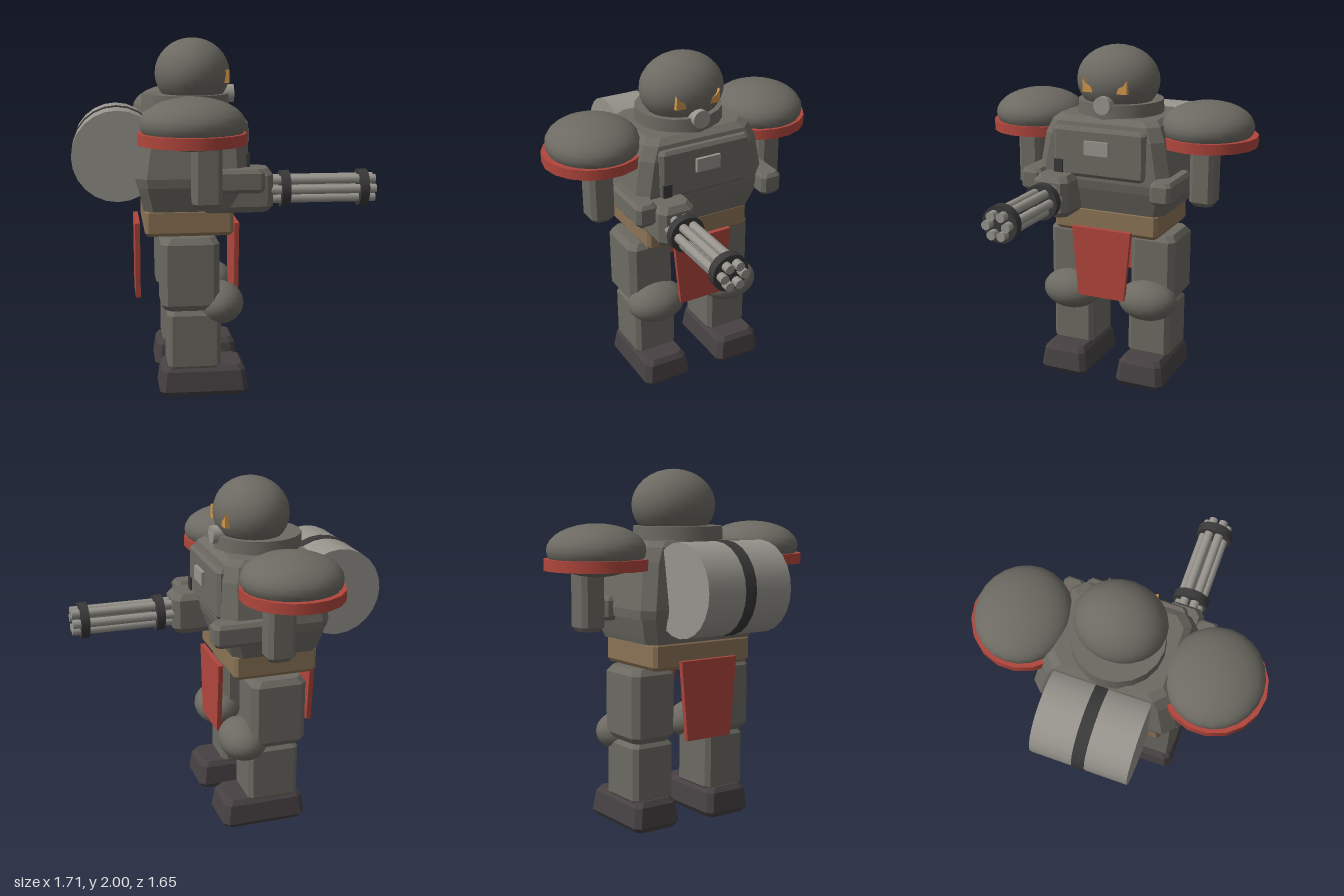
import * as THREE from 'three';
import { ConvexGeometry } from 'three/addons/geometries/ConvexGeometry.js';

const paint = (name, color) => Object.assign(new THREE.MeshStandardMaterial({ color }), { name });

export function createModel() {
  const model = new THREE.Group();
  model.name = 'armouredRobot';
  const armour = paint('armour grey', 0x6c6a62);
  const steel = paint('light steel', 0x97948d);
  const dark = paint('dark metal', 0x3a3939);
  const boot = paint('boot black', 0x474143);
  const red = paint('red trim', 0xb0463c);
  const tan = paint('tan belt', 0x8b7355);
  const amber = paint('amber eyes', 0xd0954a);

  const add = (name, geometry, material, x = 0, y = 0, z = 0) => {
    const mesh = new THREE.Mesh(geometry, material);
    mesh.name = name;
    mesh.position.set(x, y, z);
    model.add(mesh);
    return mesh;
  };

  // Convex block through levels [y, x0, x1, z0, z1], upright edges cut by c
  const block = (name, material, levels, c) => {
    const points = [];
    for (const [y, x0, x1, z0, z1] of levels) {
      const cx = (x0 + x1) / 2, cz = (z0 + z1) / 2;
      const hx = Math.abs(x1 - x0) / 2, hz = Math.abs(z1 - z0) / 2;
      for (const sx of [1, -1]) for (const sz of [1, -1]) {
        points.push(new THREE.Vector3(cx + sx * hx, y, cz + sz * (hz - c)));
        points.push(new THREE.Vector3(cx + sx * (hx - c), y, cz + sz * hz));
      }
    }
    return add(name, new ConvexGeometry(points), material);
  };

  // Box with all edges chamfered by b; inset narrows the top
  const box = (name, material, [x0, x1], [y0, y1], [za, zb], b, inset = 0) => {
    const z0 = Math.min(za, zb), z1 = Math.max(za, zb), t = inset, k = b * 0.7;
    return block(name, material, [
      [y0, x0 + k, x1 - k, z0 + k, z1 - k],
      [y0 + b, x0, x1, z0, z1],
      [y1 - b, x0 + t, x1 - t, z0 + t, z1 - t],
      [y1, x0 + t + k, x1 - t - k, z0 + t + k, z1 - t - k],
    ], b);
  };

  const ellipsoid = (name, material, x, y, z, rx, ry, rz) =>
    add(name, new THREE.SphereGeometry(1, 24, 16), material, x, y, z).scale.set(rx, ry, rz);

  // Cylinder lying along x
  const rodX = (name, material, r, x0, x1, y, z, sides = 16) =>
    add(name, new THREE.CylinderGeometry(r, r, x1 - x0, sides).rotateZ(-Math.PI / 2), material, (x0 + x1) / 2, y, z);

  // Torso
  block('chest', armour, [
    [1.2, -0.495, 0.1, -0.41, 0.41],
    [1.25, -0.505, 0.11, -0.415, 0.415],
    [1.5, -0.465, 0.1, -0.37, 0.37],
    [1.58, -0.45, 0.08, -0.335, 0.335],
    [1.61, -0.42, 0.04, -0.3, 0.3],
  ], 0.06);
  block('abdomen', armour, [
    [1.06, -0.46, 0.05, -0.36, 0.36],
    [1.09, -0.465, 0.06, -0.37, 0.37],
    [1.2, -0.49, 0.1, -0.4, 0.4],
  ], 0.05);
  box('chestPlate', armour, [0.06, 0.127], [1.27, 1.558], [-0.285, 0.285], 0.02);
  add('chestPlaque', new THREE.BoxGeometry(0.02, 0.08, 0.15), steel, 0.146, 1.45, 0);
  add('feedBlock', new THREE.BoxGeometry(0.06, 0.12, 0.052), dark, 0.107, 1.305, 0.248);
  box('belt', tan, [-0.455, 0.04], [0.915, 1.07], [-0.33, 0.33], 0.02);

  // Tapered cloth plates, front and back
  const cloth = (name, x0, x1, yb, yt, hb, ht) =>
    block(name, red, [[yb, x0, x1, -hb, hb], [yt, x0, x1, -ht, ht]], 0);
  cloth('frontCloth', 0.063, 0.09, 0.53, 0.955, 0.147, 0.187);
  cloth('backCloth', -0.505, -0.477, 0.522, 0.965, 0.147, 0.187);

  // Head, collar, breather and eyes
  ellipsoid('head', armour, -0.16, 1.8, 0, 0.215, 0.2, 0.247);
  add('collar', new THREE.CylinderGeometry(0.25, 0.255, 0.1, 20), armour, -0.2, 1.635, 0);
  rodX('breather', steel, 0.052, -0.04, 0.077, 1.682, 0);
  for (const s of [1, -1]) {
    const eye = new THREE.Shape([[0.135, 1.824], [0.115, 1.795], [0.078, 1.778], [0.075, 1.748], [0.138, 1.748]]
      .map(([z, y]) => new THREE.Vector2(-s * z, y)));
    const geometry = new THREE.ExtrudeGeometry(eye, { depth: 0.06, bevelEnabled: false });
    add('eye', geometry.rotateY(Math.PI / 2), amber, -0.022, 0, 0);
  }

  // Backpack drum with its band
  const drum = (name, material, r, width) =>
    add(name, new THREE.CylinderGeometry(r, r, width, 24).rotateX(Math.PI / 2), material, -0.598, 1.36, 0);
  drum('backDrum', steel, 0.253, 0.545);
  drum('drumBand', dark, 0.257, 0.07);

  // Mirrored limbs
  for (const s of [1, -1]) {
    add('shoulderRim', new THREE.CylinderGeometry(0.288, 0.288, 0.06, 18), red, -0.21, 1.488, s * 0.537);
    ellipsoid('shoulderPad', armour, -0.205, 1.562, s * 0.537, 0.28, 0.143, 0.265);
    box('upperArm', armour, [-0.213, -0.055], [1.12, 1.48], [s * 0.48, s * 0.623], 0.025);
    box('forearm', armour, [-0.17, 0.195], [1.172, 1.303], [s * 0.338, s * 0.465], 0.022);
    box('thigh', armour, [-0.372, -0.045], [0.5, 0.915], [s * 0.125, s * 0.403], 0.035);
    box('shin', armour, [-0.337, -0.035], [0.15, 0.495], [s * 0.118, s * 0.382], 0.025);
    ellipsoid('knee', armour, -0.035, 0.513, s * 0.25, 0.14, 0.12, 0.18);
    box('foot', boot, [-0.385, 0.12], [0, 0.172], [s * 0.1, s * 0.4], 0.03, 0.015);
  }

  // Rotary gun
  const gunY = 1.163, gunZ = 0.248;
  box('gunHousing', armour, [-0.165, 0.26], [1.045, 1.288], [0.138, 0.358], 0.035);
  for (let i = 0; i < 6; i++) {
    const a = i * Math.PI / 3;
    rodX('barrel', steel, 0.026, 0.22, 0.852, gunY + 0.06 * Math.sin(a), gunZ + 0.06 * Math.cos(a), 10);
  }
  for (const x of [0.31, 0.757]) rodX('barrelClamp', dark, 0.105, x, x + 0.05, gunY, gunZ, 20);

  return model;
}
